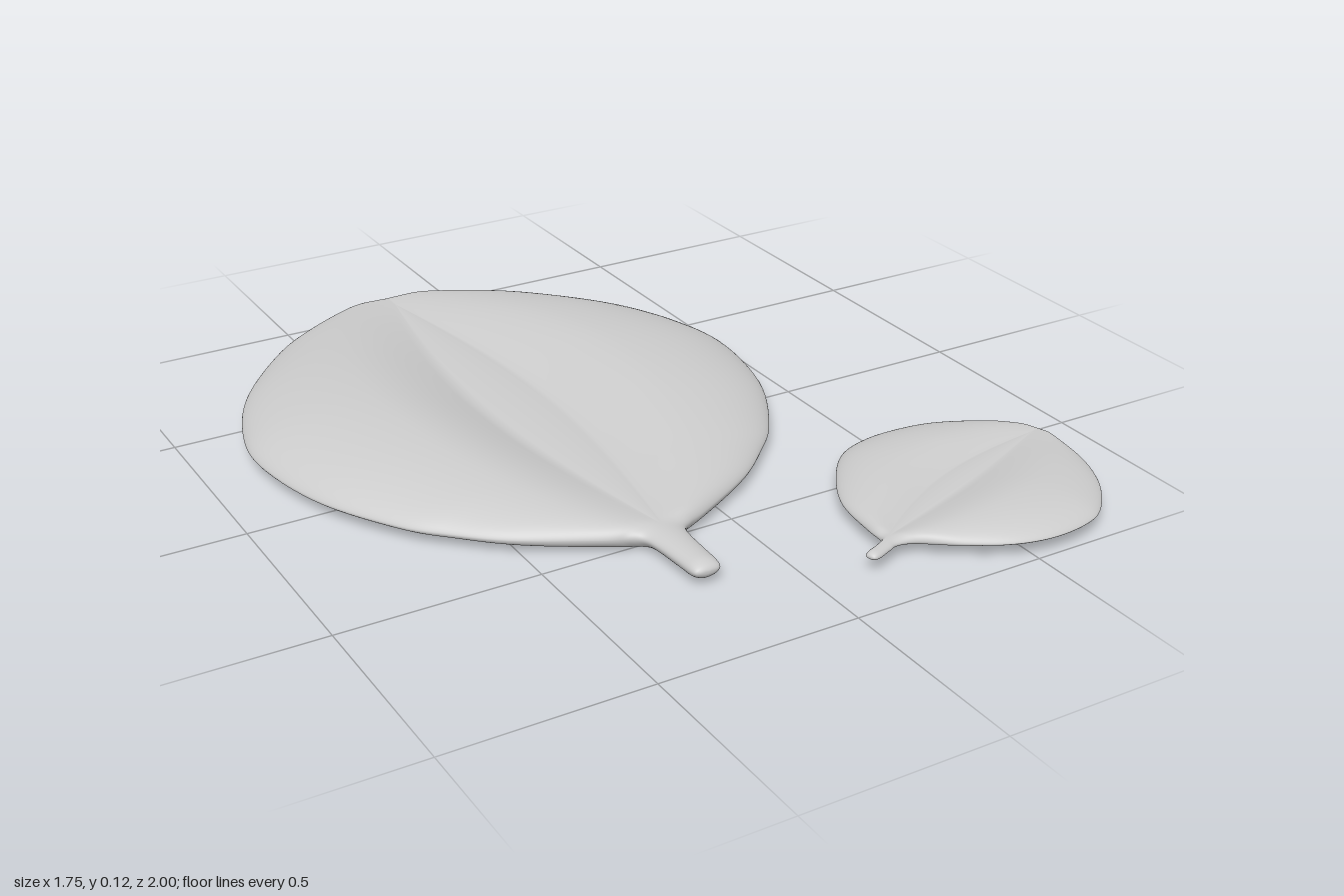
import * as THREE from 'three';
import { mergeVertices } from 'three/addons/utils/BufferGeometryUtils.js';

const STATIONS = 120;
const curve = (pts) => new THREE.SplineCurve(pts.map(([x, s]) => new THREE.Vector2(x, s)));
const { lerp, smoothstep } = THREE.MathUtils;

// Leaf from cross-sections: runs from the stem end at the origin to the tip along -z.
function leafGeometry(p) {
  const sides = { '1': curve(p.right), '-1': curve(p.left) };

  // Half section: [region, k] from the midrib out to the rim
  const half = [];
  for (let i = 0; i <= 5; i++) half.push(['rib', i / 5]);
  for (let i = 1; i <= 10; i++) half.push(['rise', i / 10]);
  for (let i = 1; i <= 16; i++) half.push(['fall', i / 16]);
  const n = half.length;
  const ring = [];
  for (let i = n - 1; i > 0; i--) ring.push([-1, half[i], true]);
  for (let i = 0; i < n; i++) ring.push([1, half[i], true]);
  for (let i = n - 2; i > 0; i--) ring.push([1, half[i], false]);
  for (let i = 0; i < n - 1; i++) ring.push([-1, half[i], false]);

  const pos = [];
  for (let i = 0; i <= STATIONS; i++) {
    const u = i / STATIONS;
    const a = sides['-1'].getPoint(u), b = sides['1'].getPoint(u);
    const s = (a.y + b.y) / 2;
    const mid = new THREE.Vector2(p.bow * Math.sin(Math.PI * s / p.length), s);
    if (i === 0 || i === STATIONS) mid.copy(a);

    // Heights swell along the blade and round off at both ends
    const k = THREE.MathUtils.clamp((s - p.blade) / (p.length - p.blade), 0, 1);
    const peak = p.valley + p.swell * Math.sin(Math.PI * k);
    const endDist = Math.min(1, Math.max(0, Math.min(s, p.length - s)) / p.endRound);
    const end = Math.sqrt(1 - (1 - endDist) ** 2);
    const rk = THREE.MathUtils.clamp((s - p.blade) / (p.ribEnd - p.blade), 0, 1);
    const rib = p.ribWidth * Math.sin(Math.PI * rk);

    for (const [side, [region, t], top] of ring) {
      const rim = side < 0 ? a : b;
      const w = Math.max(rim.distanceTo(mid), 1e-5);
      const r = Math.min(0.45, rib / w + 0.004);
      let v, y;
      if (region === 'rib') {
        v = r * t;
        y = p.valley + p.ribBump * (1 - t * t) * Math.sin(Math.PI * rk);
      } else if (region === 'rise') {
        v = lerp(r, 0.52, t);
        y = lerp(p.valley, peak, Math.sin(t * Math.PI / 2));
      } else {
        const q = Math.sin(t * Math.PI / 2);
        v = lerp(0.52, 1, q);
        y = lerp(p.rim, peak, Math.max(0, 1 - q * q) ** 0.65);
      }
      if (top) {
        // Narrow sections become a plain rounded stem
        const dome = lerp(p.rim, p.valley, Math.sqrt(Math.max(0, 1 - v * v)));
        y = lerp(dome, y, smoothstep(w, p.narrow, p.narrow * 3));
      } else {
        const dip = p.dip * Math.exp(-(((s - p.blade) / 0.15) ** 2)) * (1 - v * v);
        const e = lerp(2, 8, smoothstep(w, p.narrow, p.narrow * 5));
        y = p.rim - (p.rim - p.bottom + dip) * Math.sqrt(Math.max(0, 1 - v ** e));
      }
      y = lerp(p.rim, y, end);
      pos.push(lerp(mid.x, rim.x, v), y, -lerp(mid.y, rim.y, v));
    }
  }

  const m = ring.length, index = [];
  for (let i = 0; i < STATIONS; i++) {
    for (let j = 0; j < m; j++) {
      const j2 = (j + 1) % m;
      const a = i * m + j, b = i * m + j2, c = a + m, d = b + m;
      if (i > 0) index.push(a, b, c);
      if (i < STATIONS - 1) index.push(b, d, c);
    }
  }
  let g = new THREE.BufferGeometry();
  g.setAttribute('position', new THREE.Float32BufferAttribute(pos, 3));
  g.setIndex(index);
  g = mergeVertices(g, 1e-6);
  g.computeVertexNormals();
  return g;
}

export function createModel() {
  const group = new THREE.Group();
  const material = new THREE.MeshStandardMaterial({ color: 0xcccccc, roughness: 0.8 });

  // Large symmetrical leaf: outline as [half width, distance from stem end]
  const outline = [
    [0, 0], [0.025, 0.004], [0.036, 0.02], [0.04, 0.08], [0.045, 0.15], [0.055, 0.19],
    [0.085, 0.212], [0.145, 0.24], [0.31, 0.335], [0.42, 0.43], [0.51, 0.53], [0.62, 0.73],
    [0.67, 0.96], [0.65, 1.13], [0.565, 1.33], [0.405, 1.53], [0.28, 1.63], [0.15, 1.70],
    [0.06, 1.727], [0, 1.73],
  ];
  const large = new THREE.Mesh(leafGeometry({
    right: outline, left: outline.map(([x, s]) => [-x, s]),
    length: 1.73, blade: 0.2, ribEnd: 1.65, ribWidth: 0.09, ribBump: 0.006, bow: 0,
    valley: 0.058, swell: 0.066, rim: 0.036, bottom: 0.012, dip: 0.012,
    narrow: 0.05, endRound: 0.04,
  }), material);
  large.name = 'largeLeaf';
  large.position.set(-0.205, 0, 0.73);
  group.add(large);

  // Small leaf with a bent midrib and uneven halves
  const small = new THREE.Mesh(leafGeometry({
    right: [
      [0, 0], [0.012, 0.003], [0.018, 0.02], [0.018, 0.06], [0.02, 0.089], [0.052, 0.13],
      [0.137, 0.182], [0.225, 0.255], [0.281, 0.34], [0.308, 0.437], [0.302, 0.515],
      [0.248, 0.622], [0.164, 0.71], [0.051, 0.776], [0.02, 0.79], [0, 0.793],
    ],
    left: [
      [0, 0], [-0.012, 0.003], [-0.014, 0.02], [-0.012, 0.045], [-0.02, 0.08], [-0.07, 0.105],
      [-0.18, 0.169], [-0.26, 0.265], [-0.314, 0.373], [-0.314, 0.469], [-0.281, 0.564],
      [-0.23, 0.651], [-0.135, 0.743], [-0.07, 0.777], [-0.02, 0.792], [0, 0.793],
    ],
    length: 0.793, blade: 0.085, ribEnd: 0.755, ribWidth: 0.035, ribBump: 0.003, bow: -0.025,
    valley: 0.052, swell: 0.028, rim: 0.04, bottom: 0.03, dip: 0,
    narrow: 0.02, endRound: 0.02,
  }), material);
  small.name = 'smallLeaf';
  small.position.set(0.13, 0, 0.86);
  small.rotation.y = -1.192;
  group.add(small);

  return group;
}
